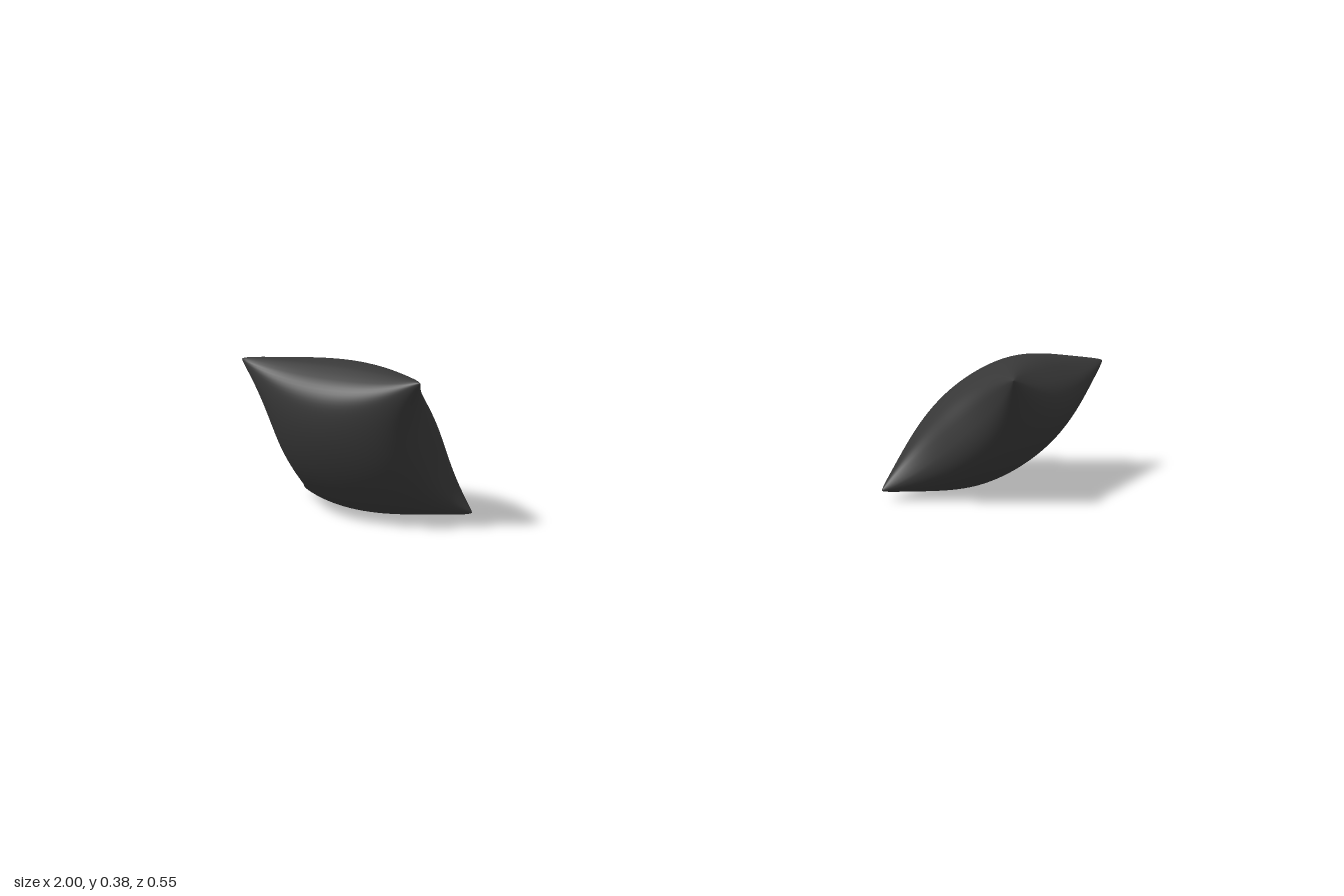
import * as THREE from 'three';
import { mergeGeometries, mergeVertices } from 'three/addons/utils/BufferGeometryUtils.js';

const SEGMENTS = 48;
const HALF_THICKNESS = 0.118;

// One puffed sheet of a cushion; side is +1 or -1 along the cushion's normal.
// pinchU and pinchV say how far the edges across u and v draw in at their middles.
function sheet(corners, pinchU, pinchV, side) {
  const [a, b, c, d] = corners.map((p) => new THREE.Vector3(...p));
  const centre = a.clone().add(b).add(c).add(d).multiplyScalar(0.25);
  const uAxis = b.clone().add(d).sub(a).sub(c).multiplyScalar(0.25);
  const vAxis = c.clone().add(d).sub(a).sub(b).multiplyScalar(0.25);
  const normal = uAxis.clone().cross(vAxis).normalize();
  const skew = a.clone().add(d).sub(b).sub(c).multiplyScalar(0.25);

  const geometry = new THREE.PlaneGeometry(2, 2, SEGMENTS, SEGMENTS);
  geometry.deleteAttribute('uv');
  geometry.deleteAttribute('normal');
  const position = geometry.attributes.position;
  const point = new THREE.Vector3();
  for (let i = 0; i < position.count; i++) {
    // Sine spacing packs the grid towards the rounded seam.
    const s = Math.sin(position.getX(i) * side * Math.PI / 2);
    const t = Math.sin(position.getY(i) * Math.PI / 2);
    const s2 = s * s;
    const t2 = t * t;
    const tip = 1.045 - 0.05 * Math.pow(s * t, 12);
    const u = s * (1 - pinchU * (1 - t2 * Math.abs(t))) * tip;
    const v = t * (1 - pinchV * (1 - s2 * Math.abs(s))) * tip;
    // Full, boxy body that thins out towards the four corners.
    const body = Math.pow(Math.max(0, (1 - s2) * (1 - t2)), 0.36);
    const puff = HALF_THICKNESS * body * Math.sqrt(Math.max(0, 1 - s2 * t2));
    point.copy(centre)
      .addScaledVector(uAxis, u)
      .addScaledVector(vAxis, v)
      .addScaledVector(skew, u * v)
      .addScaledVector(normal, side * puff);
    position.setXYZ(i, point.x, point.y, point.z);
  }
  return geometry;
}

// Cushion from four corners: a-b is one edge, c-d the opposite edge.
function cushion(name, corners, pinchU, pinchV, material) {
  const sheets = [1, -1].map((side) => sheet(corners, pinchU, pinchV, side));
  const geometry = mergeVertices(mergeGeometries(sheets), 1e-5);
  geometry.computeVertexNormals();
  const mesh = new THREE.Mesh(geometry, material);
  mesh.name = name;
  return mesh;
}

export function createModel() {
  const group = new THREE.Group();
  group.name = 'cushions';
  const fabric = new THREE.MeshStandardMaterial({ color: 0x383838 });

  group.add(
    cushion('rightCushion', [
      [-1.0, 0.36, 0.0], [-0.61, 0.355, 0.275],
      [-0.88, 0.01, -0.18], [-0.5, 0.015, 0.11],
    ], 0.22, 0.08, fabric),
    cushion('leftCushion', [
      [0.44, 0.02, 0.07], [0.69, 0.32, 0.265],
      [0.77, 0.015, -0.28], [1.0, 0.28, -0.08],
    ], 0.12, 0.22, fabric),
  );
  return group;
}
